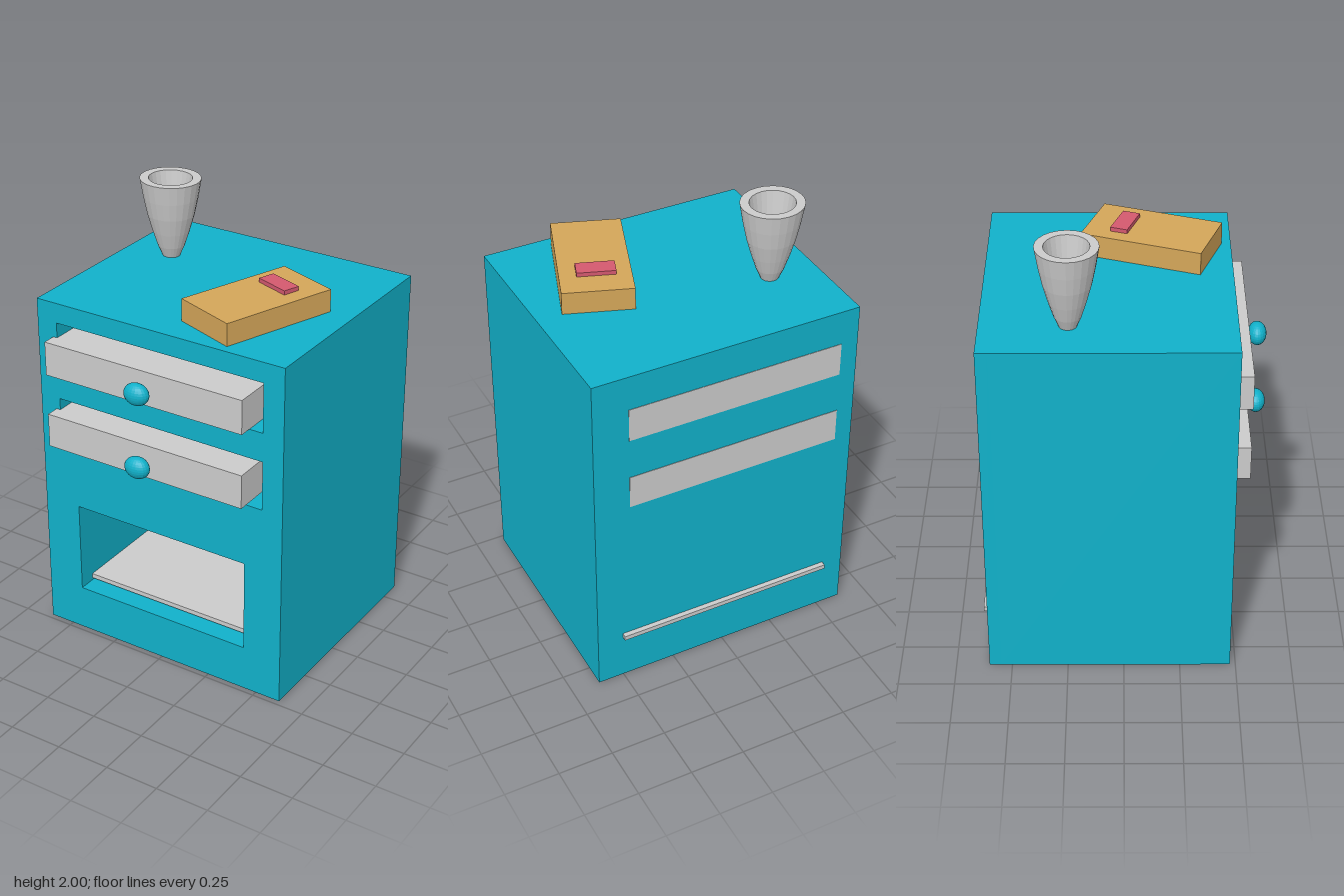
import * as THREE from 'three';

const TOP = 1.633;
const mat = (color, extra = {}) => new THREE.MeshStandardMaterial({ color, flatShading: true, ...extra });
const teal = mat(0x11b1ca);
const grey = mat(0xcccccc);

// Box given by its [min, max] range on each axis
function rangeBox(name, material, [x0, x1], [y0, y1], [z0, z1]) {
  const mesh = new THREE.Mesh(new THREE.BoxGeometry(x1 - x0, y1 - y0, z1 - z0), material);
  mesh.position.set((x0 + x1) / 2, (y0 + y1) / 2, (z0 + z1) / 2);
  mesh.name = name;
  return mesh;
}

const rect = (path, x0, x1, y0, y1) =>
  path.moveTo(x0, y0).lineTo(x1, y0).lineTo(x1, y1).lineTo(x0, y1).closePath();

export function createModel() {
  const model = new THREE.Group();
  model.name = 'nightstand';

  // Cabinet: front outline with three openings, closed by a back panel
  const outline = rect(new THREE.Shape(), -0.62, 0.62, 0, TOP);
  const openings = [
    [-0.52, 0.52, 1.31, 1.54],
    [-0.52, 0.52, 0.945, 1.175],
    [-0.44, 0.435, 0.215, 0.65],
  ];
  for (const o of openings) outline.holes.push(rect(new THREE.Path(), ...o));
  const carcass = new THREE.Mesh(
    new THREE.ExtrudeGeometry(outline, { depth: 1.025, bevelEnabled: false }), teal);
  carcass.position.z = -0.55;
  carcass.name = 'cabinet';
  model.add(carcass);
  model.add(rangeBox('backPanel', teal, [-0.62, 0.62], [0, TOP], [-0.602, -0.55]));

  // Drawers, pulled out slightly, with oval knobs
  for (const [y0, y1, knobY, knobZ] of [[1.312, 1.47, 1.38, 0.58], [0.962, 1.12, 1.033, 0.587]]) {
    const drawer = new THREE.Group();
    drawer.name = 'drawer';
    drawer.add(rangeBox('drawerBox', grey, [-0.54, 0.457], [y0, y1], [-0.604, 0.537]));
    const knob = new THREE.Mesh(new THREE.SphereGeometry(1, 20, 14), teal);
    knob.scale.set(0.06, 0.05, 0.041);
    knob.position.set(-0.033, knobY, knobZ);
    knob.name = 'knob';
    drawer.add(knob);
    model.add(drawer);
  }

  // Shelf in the lower compartment, passing through the back
  model.add(rangeBox('shelf', grey, [-0.52, 0.5], [0.226, 0.248], [-0.625, 0.395]));

  // Vase: flared wall, open at the bottom
  const outer = [[0.04, 0], [0.062, 0.05], [0.085, 0.12], [0.108, 0.2], [0.125, 0.28], [0.14, 0.367]];
  const inner = [[0.1, 0.367], [0.083, 0.26], [0.058, 0.13], [0.03, 0]];
  const profile = [...outer, ...inner].map(([r, y]) => new THREE.Vector2(r, y));
  const vase = new THREE.Mesh(
    new THREE.LatheGeometry(profile, 24), mat(0xcccccc, { side: THREE.DoubleSide }));
  vase.scale.z = 0.95;
  vase.position.set(-0.4, TOP, -0.23);
  vase.name = 'vase';
  model.add(vase);

  // Book lying at an angle, with a small label block on it
  const book = new THREE.Group();
  book.name = 'book';
  book.position.set(0.268, TOP, 0.123);
  book.rotation.y = -0.345;
  book.add(rangeBox('bookBlock', mat(0xd4a659), [-0.154, 0.154], [0, 0.103], [-0.276, 0.276]));
  book.add(rangeBox('bookLabel', mat(0xd4596f), [-0.088, 0.08], [0.103, 0.122], [-0.161, -0.083]));
  model.add(book);

  return model;
}
